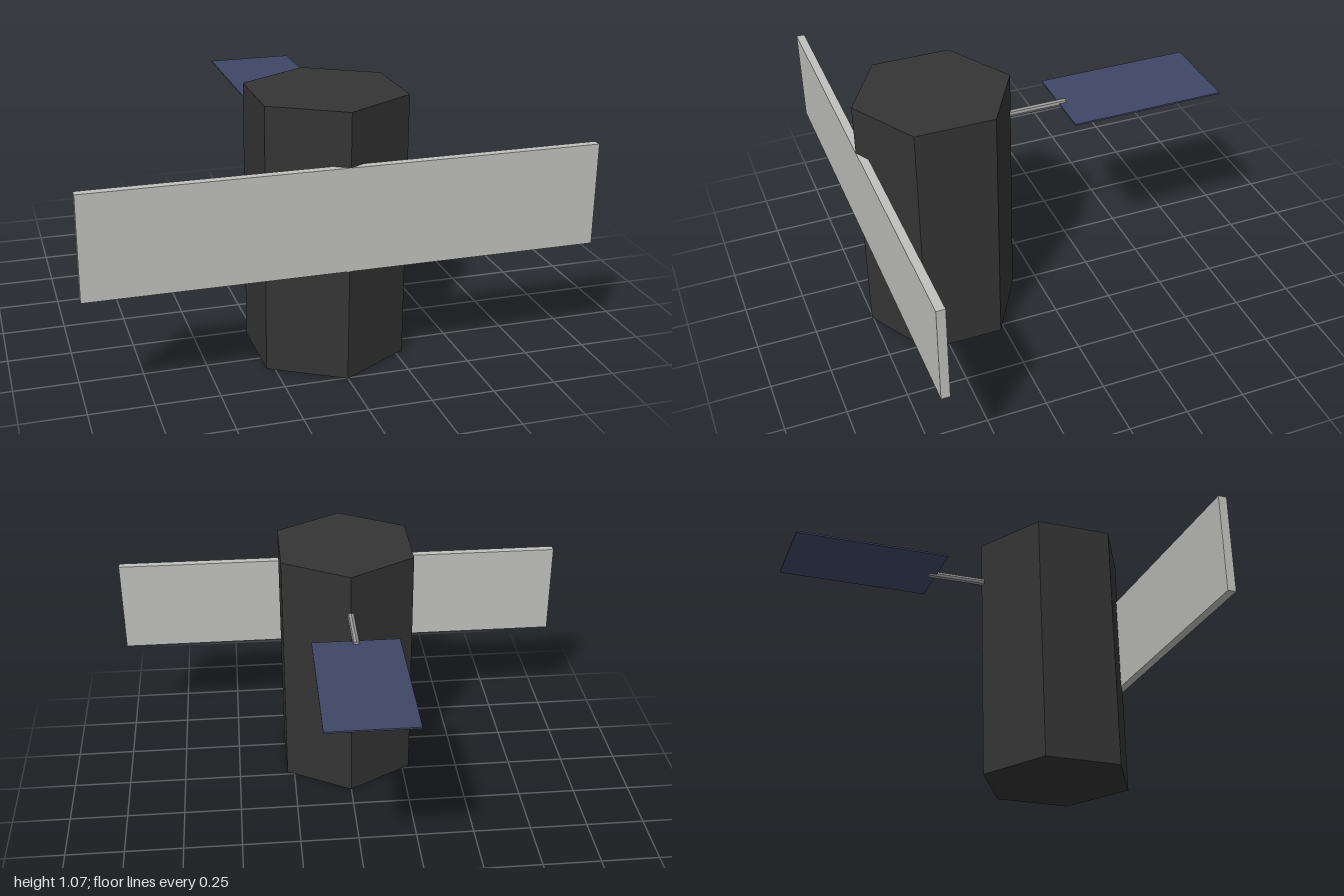
import * as THREE from 'three';

const material = (name, color) => {
  const m = new THREE.MeshStandardMaterial({ color, flatShading: true });
  m.name = name;
  return m;
};

export function createModel() {
  const group = new THREE.Group();
  const charcoal = material('charcoal', 0x343434);
  const silver = material('silver', 0xc0c0be);
  const grey = material('boom grey', 0x9a9a9a);
  const navy = material('navy', 0x3f4766);

  const add = (name, geometry, mat, x, y, z) => {
    const mesh = new THREE.Mesh(geometry, mat);
    mesh.name = name;
    mesh.position.set(x, y, z);
    group.add(mesh);
    return mesh;
  };

  // Hexagonal body with one edge pointing forwards
  add('body', new THREE.CylinderGeometry(0.325, 0.325, 1.07, 6), charcoal, 0, 0.535, 0.43);

  // Wide flat panel across the front edge
  add('frontPanel', new THREE.BoxGeometry(2, 0.41, 0.035), silver, 0, 0.655, 0.7375);

  // Thin boom running backwards from the body
  const boom = new THREE.CylinderGeometry(0.015, 0.015, 0.247, 8).rotateX(Math.PI / 2);
  add('boom', boom, grey, 0, 0.89, -0.0115);

  // Level solar panel on the end of the boom
  add('solarPanel', new THREE.BoxGeometry(0.36, 0.007, 0.65), navy, 0, 0.89, -0.43);

  return group;
}
